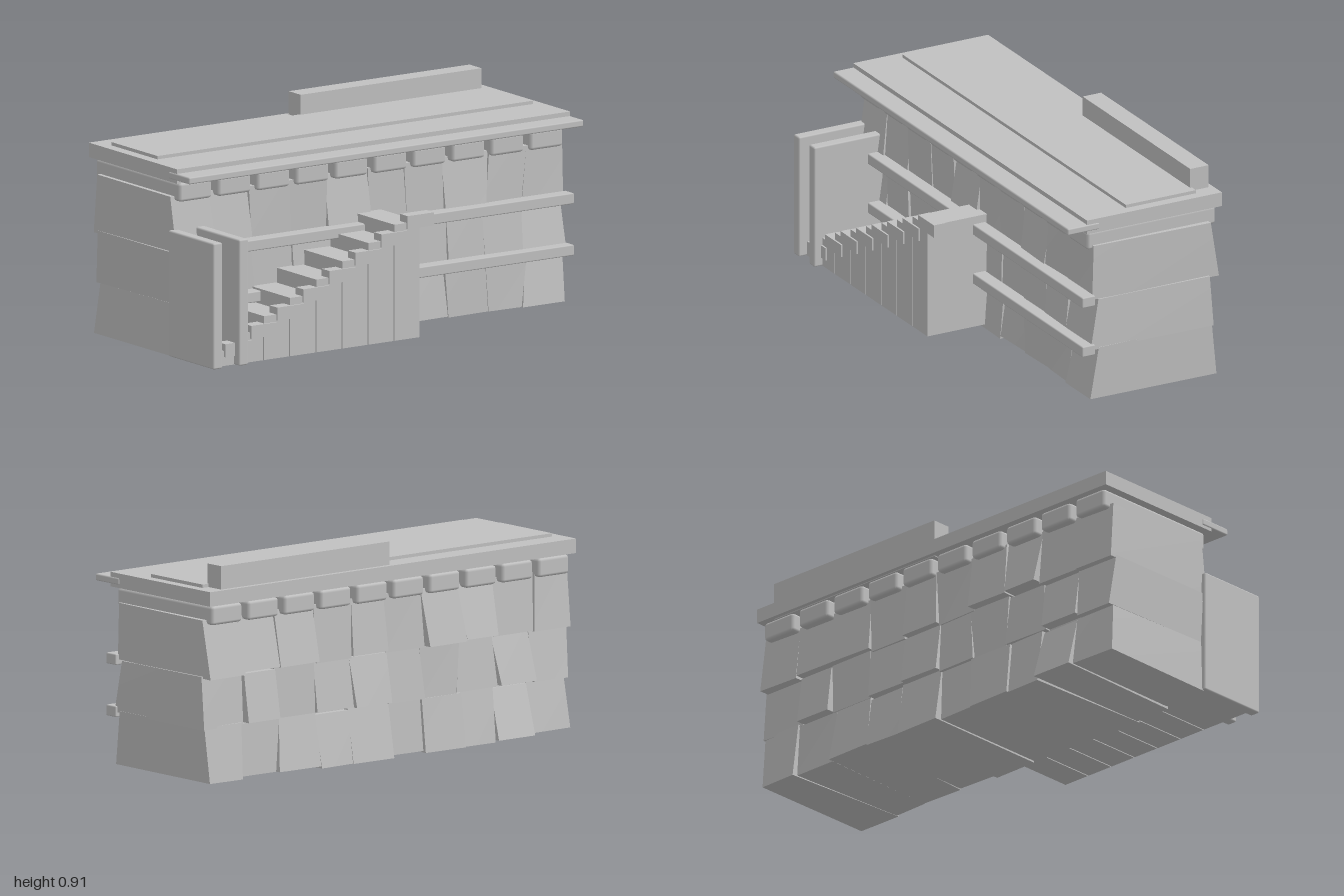
import * as THREE from 'three';
import { RoundedBoxGeometry } from 'three/addons/geometries/RoundedBoxGeometry.js';

export function createModel() {
  const model = new THREE.Group();
  model.name = 'stoneBuilding';
  const stone = new THREE.MeshStandardMaterial({ color: 0xc0c0c0 });
  stone.name = 'pale grey';

  // Seeded random number in -1..1
  let seed = 41;
  const rnd = () => {
    seed = (seed * 16807) % 2147483647;
    return (seed / 2147483647) * 2 - 1;
  };

  // Box given by its limits, with an optional bevel
  function box(name, [x0, x1], [y0, y1], [z0, z1], bevel = 0, parent = model) {
    const size = [x1 - x0, y1 - y0, z1 - z0];
    const geo = bevel ? new RoundedBoxGeometry(...size, 1, bevel) : new THREE.BoxGeometry(...size);
    const mesh = new THREE.Mesh(geo, stone);
    mesh.name = name;
    mesh.position.set((x0 + x1) / 2, (y0 + y1) / 2, (z0 + z1) / 2);
    parent.add(mesh);
    return mesh;
  }

  function group(name) {
    const g = new THREE.Group();
    g.name = name;
    model.add(g);
    return g;
  }

  // Walls: three rows of uneven blocks, wider at the foot than at the top
  const walls = group('walls');
  box('wallCore', [-0.96, 0.96], [0.03, 0.67], [-0.385, 0.115], 0, walls);
  const rows = [0.012, 0.235, 0.45, 0.69];
  const columns = 10;
  for (let r = 0; r < 3; r++) {
    // Joints between neighbouring blocks, shared so that the blocks meet
    const joints = [];
    for (let c = 0; c <= columns; c++) {
      const end = c === 0 || c === columns;
      const x = -0.98 + (1.96 * c) / columns;
      joints.push([0, 1, 2, 3].map(() => x + rnd() * (end ? 0.008 : 0.018)));
    }
    for (let c = 0; c < columns; c++) {
      const geo = new THREE.BoxGeometry(1, 1, 1);
      const corner = {};
      for (const top of [0, 1]) {
        for (const front of [0, 1]) {
          const z = front
            ? (top ? 0.134 : 0.15) + rnd() * 0.014
            : (top ? -0.404 : -0.432) + rnd() * (top ? 0.012 : 0.02);
          const y = rows[r + top] + (r === 2 && top ? 0 : rnd() * 0.008);
          for (const right of [0, 1]) {
            corner[`${right}${top}${front}`] = [
              joints[c + right][top * 2 + front], y, z + rnd() * 0.005,
            ];
          }
        }
      }
      const p = geo.attributes.position;
      for (let i = 0; i < p.count; i++) {
        const key = [p.getX(i), p.getY(i), p.getZ(i)].map((v) => (v > 0 ? 1 : 0)).join('');
        p.setXYZ(i, ...corner[key]);
      }
      geo.computeVertexNormals();
      const mesh = new THREE.Mesh(geo, stone);
      mesh.name = 'wallBlock';
      walls.add(mesh);
    }
  }

  // Ceiling beams under the roof
  const beams = group('beams');
  for (let i = 0; i < 10; i++) {
    const x = -0.882 + i * 0.196;
    box('beam', [x - 0.082, x + 0.082], [0.67, 0.75], [-0.442, 0.165], 0.013, beams);
  }

  // Flat roof with raised panel, front board and rear parapet
  const roof = group('roof');
  box('roofSlab', [-0.988, 0.988], [0.755, 0.816], [-0.457, 0.18], 0, roof);
  box('roofPanel', [-0.942, 0.945], [0.81, 0.83], [-0.358, -0.027], 0, roof);
  box('frontBoard', [-0.992, 0.992], [0.768, 0.797], [0.123, 0.273], 0.006, roof);
  box('parapet', [0.003, 0.912], [0.752, 0.914], [-0.437, -0.35], 0, roof);

  // Horizontal rails along the front wall
  for (const y of [0.212, 0.43]) {
    box('wallRail', [-0.985, 0.992], [y, y + 0.046], [0.142, 0.204], 0.005);
  }

  // Stair: columns of falling height, with curb blocks bridging their joints
  const stair = group('stair');
  for (let k = 0; k < 8; k++) {
    const x = 0.065 - k * 0.131;
    const drop = k * 0.061;
    box('stairColumn', [x - 0.126, x], [0.02, 0.51 - drop], [0.1, 0.418], 0, stair);
    box('stairCurb', [x - 0.065, x + 0.068], [0.485 - drop, 0.54 - drop], [0.37, 0.426], 0, stair);
  }

  // Two upright slabs at the foot of the stair
  for (const x of [-0.998, -0.868]) {
    box('uprightSlab', [x, x + 0.046], [0.02, 0.552], [0.13, 0.457], 0.007);
  }

  return model;
}
